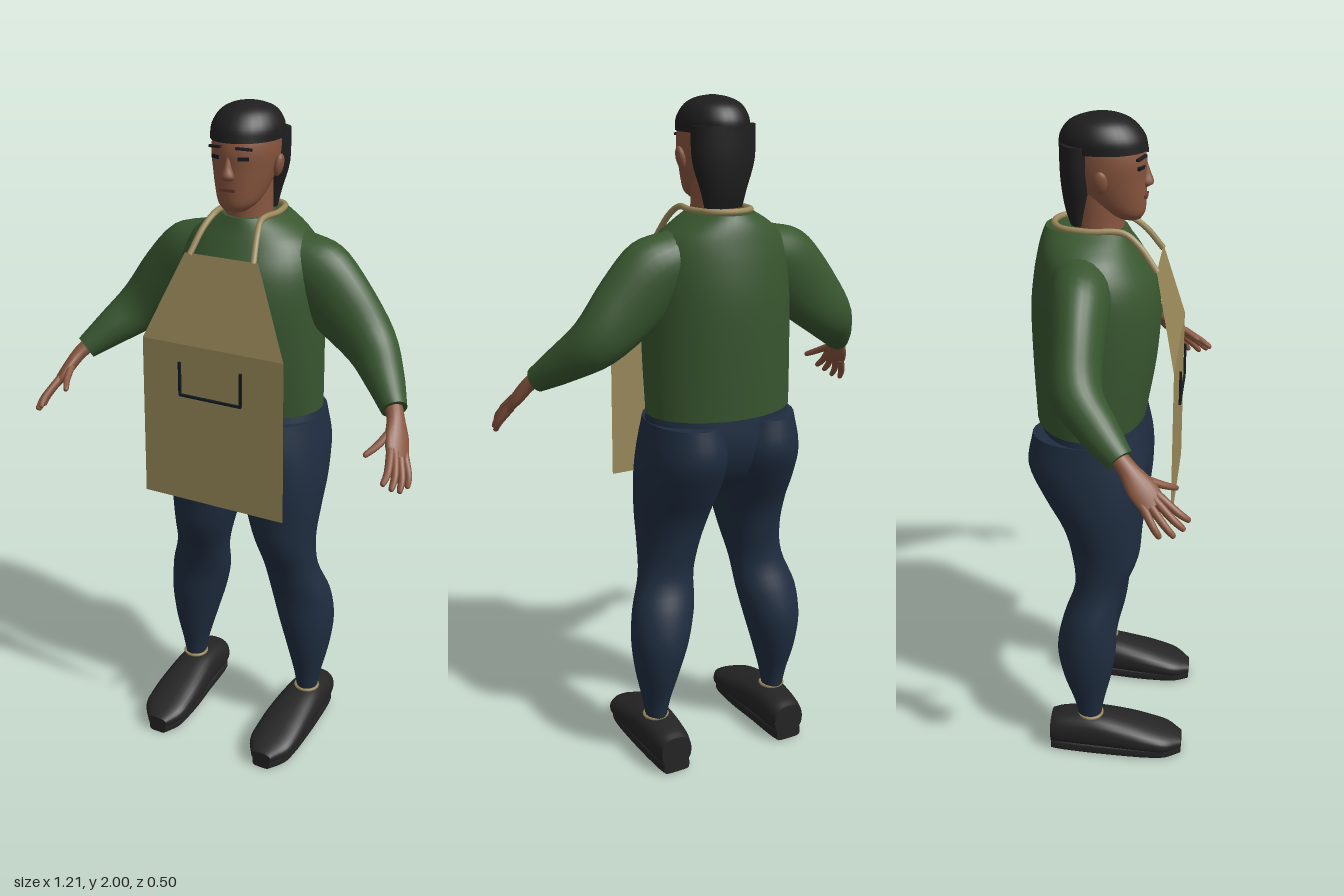
import * as THREE from 'three';

const V = (x, y, z) => new THREE.Vector3(x, y, z);
const mat = (name, color) => {
  const m = new THREE.MeshStandardMaterial({ color });
  m.name = name;
  return m;
};

// Skin a smooth surface over elliptical sections {c, u, v}; ends are capped.
function loft(secs, { sides = 28, steps = 4, power = 1 } = {}) {
  const curve = k => new THREE.CatmullRomCurve3(secs.map(s => s[k]), false, 'catmullrom', 0.5);
  const C = curve('c'), U = curve('u'), W = curve('v');
  const rows = (secs.length - 1) * steps, pos = [], idx = [];
  const se = t => Math.sign(t) * Math.pow(Math.abs(t), power);
  const ring = t => {
    const c = C.getPoint(t), u = U.getPoint(t), v = W.getPoint(t);
    for (let i = 0; i < sides; i++) {
      const a = (i / sides) * Math.PI * 2;
      const p = c.clone().addScaledVector(u, se(Math.cos(a))).addScaledVector(v, se(Math.sin(a)));
      pos.push(p.x, p.y, p.z);
    }
    return c;
  };
  const dir = secs[1].c.clone().sub(secs[0].c);
  const flip = secs[0].u.clone().cross(secs[0].v).dot(dir) < 0;
  const tri = (a, b, c) => (flip ? idx.push(a, c, b) : idx.push(a, b, c));
  for (let j = 0; j <= rows; j++) ring(j / rows);
  for (let j = 0; j < rows; j++) for (let i = 0; i < sides; i++) {
    const a = j * sides + i, b = j * sides + (i + 1) % sides;
    tri(a, b, a + sides);
    tri(b, b + sides, a + sides);
  }
  for (const end of [0, 1]) {
    const base = pos.length / 3, c = ring(end);
    pos.push(c.x, c.y, c.z);
    for (let i = 0; i < sides; i++) {
      const a = base + i, b = base + (i + 1) % sides;
      end ? tri(a, b, base + sides) : tri(b, a, base + sides);
    }
  }
  const g = new THREE.BufferGeometry();
  g.setAttribute('position', new THREE.Float32BufferAttribute(pos, 3));
  g.setIndex(idx);
  g.computeVertexNormals();
  return g;
}

// Upright form from rows of [y, xMin, xMax, zFront, zBack]
const upright = (rows, s = 1, opt) => loft(rows.map(([y, x0, x1, f, b]) => ({
  c: V(s * (x0 + x1) / 2, y, (f + b) / 2), u: V(0, 0, (f - b) / 2), v: V(s * (x1 - x0) / 2, 0, 0),
})), opt);
// Symmetric upright form from rows of [y, halfWidth, zFront, zBack]
const column = (rows, opt) => upright(rows.map(([y, r, f, b]) => [y, -r, r, f, b]), 1, opt);

// Limb from rows of [x, y, z, radiusA, radiusB]
function limb(rows, s, opt) {
  const pts = rows.map(r => V(s * r[0], r[1], r[2]));
  const path = new THREE.CatmullRomCurve3(pts, false, 'catmullrom', 0.5);
  return loft(rows.map((r, i) => {
    const d = path.getTangent(i / (rows.length - 1));
    const u = d.clone().cross(V(0, 0, 1)).normalize();
    const v = d.clone().cross(u).normalize();
    return { c: pts[i], u: u.multiplyScalar(r[3]), v: v.multiplyScalar(r[4]) };
  }), opt);
}

export function createModel() {
  const skin = mat('skin', 0x87553e), lip = mat('lips', 0x6b3a30), hair = mat('hair', 0x1e1e1f);
  const shirt = mat('shirt green', 0x38562f), denim = mat('trouser navy', 0x1f2d40);
  const tan = mat('apron tan', 0x9a895a), shoe = mat('shoe black', 0x242425), ink = mat('dark trim', 0x141c22);
  const cloth = mat('apron cloth', 0x9a895a);
  cloth.side = THREE.DoubleSide;
  const model = new THREE.Group();
  model.name = 'apronWorker';
  const add = (name, geo, m, parent = model) => {
    const mesh = new THREE.Mesh(geo, m);
    mesh.name = name;
    parent.add(mesh);
    return mesh;
  };
  const box = (name, size, at, m, ry = 0, rz = 0) => {
    const b = add(name, new THREE.BoxGeometry(...size), m);
    b.position.set(...at);
    b.rotation.set(0, ry, rz);
  };

  // Shirt body and hips
  add('shirtBody', column([
    [1.12, 0.222, 0.085, -0.235], [1.3, 0.223, 0.115, -0.243], [1.45, 0.22, 0.125, -0.245],
    [1.55, 0.212, 0.108, -0.235], [1.62, 0.185, 0.07, -0.222], [1.66, 0.14, 0.045, -0.212], [1.69, 0.09, 0.03, -0.2],
  ], { sides: 40 }), shirt);
  add('trouserHips', column([
    [0.87, 0.12, 0.06, -0.13], [0.93, 0.215, 0.095, -0.185], [1.02, 0.236, 0.1, -0.225], [1.14, 0.215, 0.075, -0.222],
  ], { sides: 40 }), denim);

  // Neck, head and hair
  add('neck', column([[1.62, 0.075, 0.025, -0.13], [1.7, 0.066, 0.02, -0.12], [1.8, 0.064, 0.02, -0.12]]), skin);
  add('head', column([
    [1.715, 0.03, 0.066, 0.005], [1.735, 0.054, 0.077, -0.04], [1.77, 0.071, 0.08, -0.09],
    [1.83, 0.087, 0.08, -0.13], [1.88, 0.093, 0.081, -0.14], [1.93, 0.088, 0.065, -0.14], [1.97, 0.06, 0.03, -0.1],
  ]), skin);
  add('hairCap', column([
    [1.905, 0.098, 0.085, -0.158], [1.94, 0.097, 0.076, -0.156], [1.975, 0.077, 0.047, -0.132],
    [1.993, 0.045, 0.01, -0.09], [2.0, 0.01, -0.03, -0.05],
  ]), hair);
  add('hairBack', column([
    [1.7, 0.058, -0.08, -0.13], [1.75, 0.07, -0.068, -0.145], [1.83, 0.094, -0.055, -0.155], [1.925, 0.097, -0.045, -0.157],
  ]), hair);
  add('nose', column([
    [1.803, 0.012, 0.085, 0.06], [1.815, 0.02, 0.1, 0.06], [1.84, 0.012, 0.092, 0.06], [1.872, 0.008, 0.08, 0.06],
  ], { sides: 14 }), skin);
  box('mouth', [0.046, 0.009, 0.009], [0, 1.778, 0.079], lip);

  // Apron sheet: sloped bib above a straight skirt
  const apron = new THREE.BufferGeometry();
  apron.setAttribute('position', new THREE.Float32BufferAttribute([
    -0.23, 0.86, 0.18, 0.23, 0.86, 0.18, -0.225, 1.35, 0.18, 0.225, 1.35, 0.18, -0.115, 1.6, 0.12, 0.115, 1.6, 0.12,
  ], 3));
  apron.setIndex([0, 1, 3, 0, 3, 2, 2, 3, 5, 2, 5, 4]);
  add('apron', apron.toNonIndexed(), cloth).geometry.computeVertexNormals();
  box('pocketBottom', [0.2, 0.007, 0.007], [0, 1.2, 0.191], ink);
  add('neckStrap', new THREE.TubeGeometry(new THREE.CatmullRomCurve3([
    V(-0.1, 1.595, 0.12), V(-0.085, 1.66, 0.07), V(-0.075, 1.692, 0.025), V(-0.082, 1.695, -0.07),
    V(-0.06, 1.697, -0.15), V(0, 1.697, -0.175), V(0.06, 1.697, -0.15),
    V(0.082, 1.695, -0.07), V(0.075, 1.692, 0.025), V(0.085, 1.66, 0.07), V(0.1, 1.595, 0.12),
  ]), 60, 0.009, 8), tan);

  for (const s of [1, -1]) {
    const side = s > 0 ? 'left' : 'right';
    // Face details
    box(side + 'Eye', [0.03, 0.01, 0.009], [s * 0.042, 1.864, 0.068], ink, s * 0.4);
    box(side + 'Brow', [0.046, 0.007, 0.009], [s * 0.044, 1.891, 0.07], hair, s * 0.4, -s * 0.08);
    const ear = add(side + 'Ear', new THREE.SphereGeometry(1, 14, 10), skin);
    ear.scale.set(0.012, 0.032, 0.02);
    ear.position.set(s * 0.097, 1.835, -0.035);
    ear.rotation.z = -s * 0.2;
    box(side + 'PocketEdge', [0.007, 0.1, 0.007], [s * 0.098, 1.25, 0.191], ink);

    // Sleeve
    add(side + 'Sleeve', limb([
      [0.12, 1.57, -0.085, 0.085, 0.085], [0.2, 1.53, -0.08, 0.108, 0.085], [0.28, 1.45, -0.077, 0.104, 0.076],
      [0.38, 1.35, -0.065, 0.078, 0.07], [0.45, 1.285, 0, 0.056, 0.056], [0.507, 1.23, 0.065, 0.036, 0.038],
    ], s), shirt);

    // Hand: flattened palm, four fingers and a thumb
    const hand = new THREE.Group();
    hand.name = side + 'Hand';
    model.add(hand);
    const palm = (x, y, z, w, t) => ({
      c: V(s * x, y, z), u: V(s * 0.5, -0.25, -0.8).multiplyScalar(w), v: V(s * 0.78, 0.55, 0.3).multiplyScalar(t),
    });
    add('palm', loft([
      palm(0.495, 1.245, 0.05, 0.026, 0.026), palm(0.52, 1.215, 0.085, 0.028, 0.021),
      palm(0.542, 1.17, 0.125, 0.041, 0.018), palm(0.56, 1.132, 0.157, 0.037, 0.012),
    ], { sides: 18 }), skin, hand);
    const fingers = [
      ['indexFinger', [0.543, 1.146, 0.178], [0.556, 1.09, 0.252]],
      ['middleFinger', [0.553, 1.14, 0.166], [0.577, 1.074, 0.24]],
      ['ringFinger', [0.562, 1.132, 0.15], [0.592, 1.06, 0.215]],
      ['littleFinger', [0.57, 1.127, 0.134], [0.6, 1.06, 0.178]],
      ['thumb', [0.522, 1.195, 0.115], [0.485, 1.145, 0.215]],
    ];
    for (const [name, a, b] of fingers) {
      const at = (t, r) => [...a.map((p, i) => p + (b[i] - p) * t), r, r];
      const mid = at(0.55, 0.0105);
      mid[0] += 0.006;
      add(name, limb([at(-0.2, 0.012), mid, at(0.93, 0.008), at(1, 0.003)], s, { sides: 10, steps: 3 }), skin, hand);
    }

    // Trouser leg
    add(side + 'TrouserLeg', upright([
      [0.13, 0.178, 0.24, -0.03, -0.1], [0.2, 0.165, 0.252, -0.018, -0.115], [0.3, 0.138, 0.273, 0.005, -0.148],
      [0.4, 0.108, 0.284, 0.018, -0.164], [0.5, 0.082, 0.276, 0.02, -0.145], [0.6, 0.07, 0.243, 0.042, -0.112],
      [0.7, 0.045, 0.236, 0.08, -0.122], [0.8, 0.015, 0.245, 0.09, -0.15], [0.9, -0.005, 0.25, 0.1, -0.205],
      [1.0, -0.01, 0.243, 0.1, -0.25], [1.1, 0.0, 0.225, 0.08, -0.235],
    ], s, { sides: 32 }), denim);

    // Shoe lofted heel to toe, with a narrower sole and a lace at the ankle
    const shoeRows = [
      [-0.19, 0.2, 0.05, 0.02, 0.118], [-0.15, 0.2, 0.058, 0.02, 0.13], [-0.05, 0.2, 0.066, 0.02, 0.138],
      [0.05, 0.197, 0.073, 0.02, 0.118], [0.12, 0.196, 0.074, 0.02, 0.098], [0.18, 0.194, 0.067, 0.02, 0.078],
      [0.228, 0.19, 0.034, 0.024, 0.055],
    ];
    const shoeLoft = (rows, power) => loft(rows.map(([z, x, w, y0, y1]) => ({
      c: V(s * x, (y0 + y1) / 2, z), u: V(s * w, 0, 0), v: V(0, (y1 - y0) / 2, 0),
    })), { power });
    add(side + 'Shoe', shoeLoft(shoeRows, 0.8), shoe);
    add(side + 'Sole', shoeLoft(shoeRows.map(([z, x, w]) => [z, x, w * 0.85, 0, 0.04]), 0.4), shoe);
    const lace = add(side + 'AnkleLace', new THREE.TorusGeometry(0.036, 0.005, 6, 24), tan);
    lace.rotation.x = Math.PI / 2;
    lace.position.set(s * 0.209, 0.14, -0.062);
  }
  return model;
}
